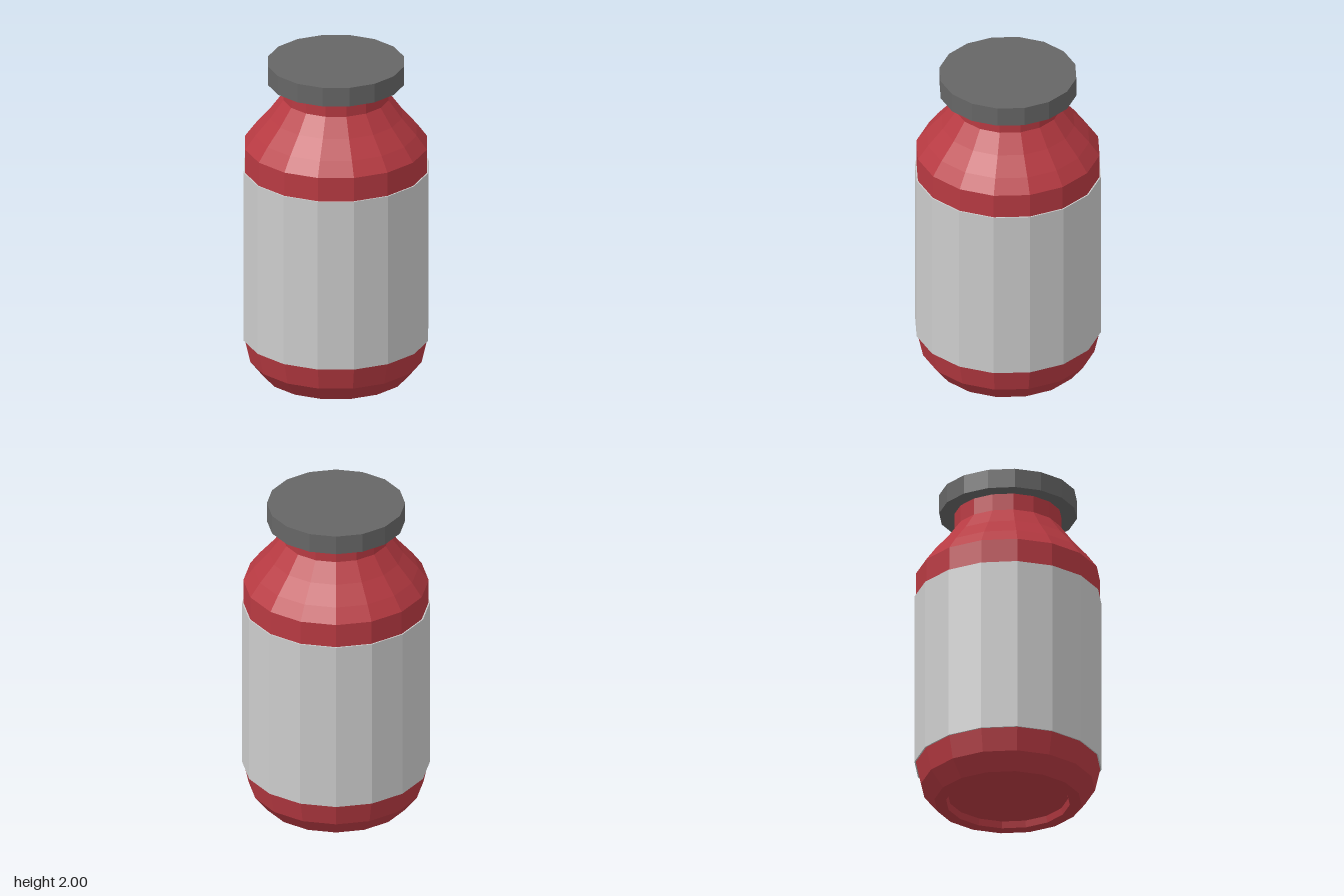
import * as THREE from 'three';

const SIDES = 16;

// Turned, faceted part from [radius, height] pairs running bottom to top
function turned(name, color, profile) {
  const points = profile.map(([r, y]) => new THREE.Vector2(r, y));
  const material = new THREE.MeshStandardMaterial({ color, flatShading: true });
  const mesh = new THREE.Mesh(new THREE.LatheGeometry(points, SIDES), material);
  mesh.name = name;
  return mesh;
}

export function createModel() {
  const jar = new THREE.Group();
  jar.name = 'jar';

  // Body with recessed base, bevelled foot, curved shoulder and neck
  jar.add(turned('body', 0xb83a42, [
    [0, 0.04], [0.36, 0.04], [0.37, 0], [0.44, 0],
    [0.52, 0.1], [0.552, 0.24], [0.552, 1.475],
    [0.49, 1.56], [0.4, 1.665], [0.32, 1.775], [0.32, 1.89],
  ]));

  // Label band wrapped round the body
  jar.add(turned('label', 0xcccccc, [
    [0.55, 0.24], [0.56, 0.24], [0.56, 1.325], [0.55, 1.325],
  ]));

  // Flat lid overhanging the neck
  jar.add(turned('lid', 0x666666, [
    [0, 1.88], [0.412, 1.88], [0.412, 2], [0, 2],
  ]));

  return jar;
}
